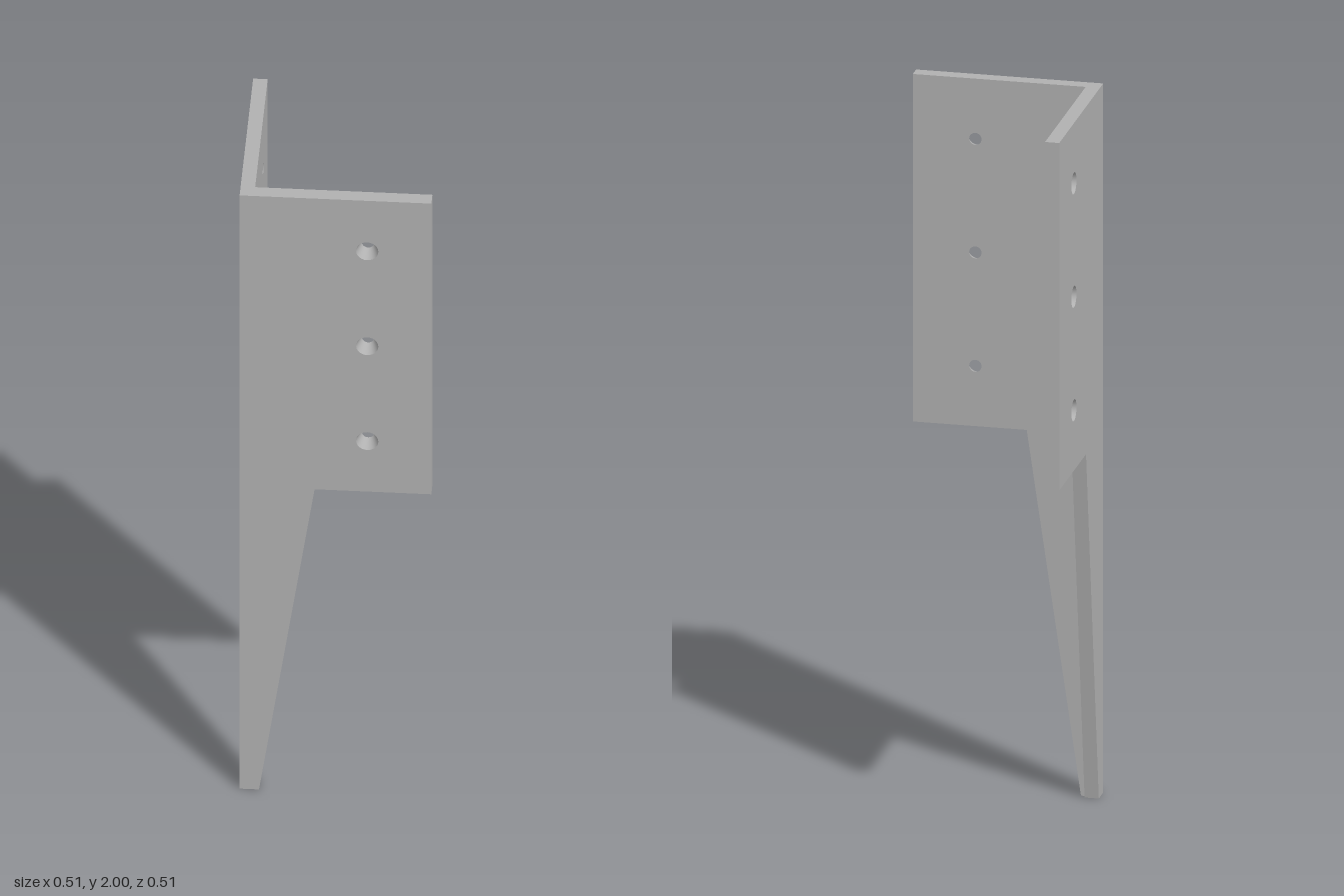
import * as THREE from 'three';

const HALF = 0.257;       // half the overall width
const THICK = 0.039;      // plate thickness
const HOLE_X = 0.085;
const HOLE_YS = [1.19, 1.51, 1.83];
const R_OUT = 0.03, R_IN = 0.017; // countersunk hole radii
const SIDES = 24;

// Turn a geometry inside out
function flip(geo) {
  const idx = geo.index.array;
  for (let i = 0; i < idx.length; i += 3) [idx[i], idx[i + 1]] = [idx[i + 1], idx[i]];
  const n = geo.attributes.normal;
  for (let i = 0; i < n.count; i++) n.setXYZ(i, -n.getX(i), -n.getY(i), -n.getZ(i));
  return geo;
}

// Flat face with a circular opening at each screw hole
function face(points, holeX, radius) {
  const shape = new THREE.Shape(points);
  for (const y of HOLE_YS) {
    const ring = [];
    for (let i = 0; i < SIDES; i++) {
      const a = (i / SIDES) * Math.PI * 2;
      ring.push(new THREE.Vector2(holeX + radius * Math.cos(a), y + radius * Math.sin(a)));
    }
    shape.holes.push(new THREE.Path(ring));
  }
  return new THREE.ShapeGeometry(shape);
}

// Narrow walls around an anticlockwise outline
function rim(points, z0, z1) {
  const pos = [];
  points.forEach((a, i) => {
    const b = points[(i + 1) % points.length];
    pos.push(a.x, a.y, z0, b.x, b.y, z0, b.x, b.y, z1);
    pos.push(a.x, a.y, z0, b.x, b.y, z1, a.x, a.y, z1);
  });
  const geo = new THREE.BufferGeometry();
  geo.setAttribute('position', new THREE.Float32BufferAttribute(pos, 3));
  geo.computeVertexNormals();
  return geo;
}

// One leaf: upper plate tapering into half of the spike; side = -1 mirrors it
function leaf(name, startX, side, material) {
  const group = new THREE.Group();
  group.name = name;
  const points = [
    [startX, 0], [-0.205, 0], [-0.056, 1.02], [HALF, 1.02], [HALF, 2], [startX, 2],
  ].map(([x, y]) => new THREE.Vector2(x * side, y));
  if (side < 0) points.reverse();

  const add = (geo, part) => {
    const mesh = new THREE.Mesh(geo, material);
    mesh.name = part;
    group.add(mesh);
    return mesh;
  };
  const outer = HALF, inner = HALF - THICK, holeX = HOLE_X * side;
  add(face(points, holeX, R_OUT), 'outerFace').position.z = outer;
  add(flip(face(points, holeX, R_IN)), 'innerFace').position.z = inner;
  add(rim(points, inner, outer), 'plateEdge');

  // Countersunk screw holes
  for (const y of HOLE_YS) {
    const cone = new THREE.CylinderGeometry(R_OUT, R_IN, THICK, SIDES, 1, true);
    add(flip(cone.rotateX(Math.PI / 2)), 'screwHole').position.set(holeX, y, (inner + outer) / 2);
  }
  return group;
}

export function createModel() {
  const steel = new THREE.MeshStandardMaterial({ color: 0xb0b0b0 });
  steel.name = 'grey steel';

  const model = new THREE.Group();
  model.name = 'angleStake';
  model.add(leaf('frontLeaf', -HALF, 1, steel));

  // Second leaf butts against the back of the first
  const sideLeaf = leaf('sideLeaf', -HALF + THICK, -1, steel);
  sideLeaf.rotation.y = -Math.PI / 2;
  model.add(sideLeaf);
  return model;
}
